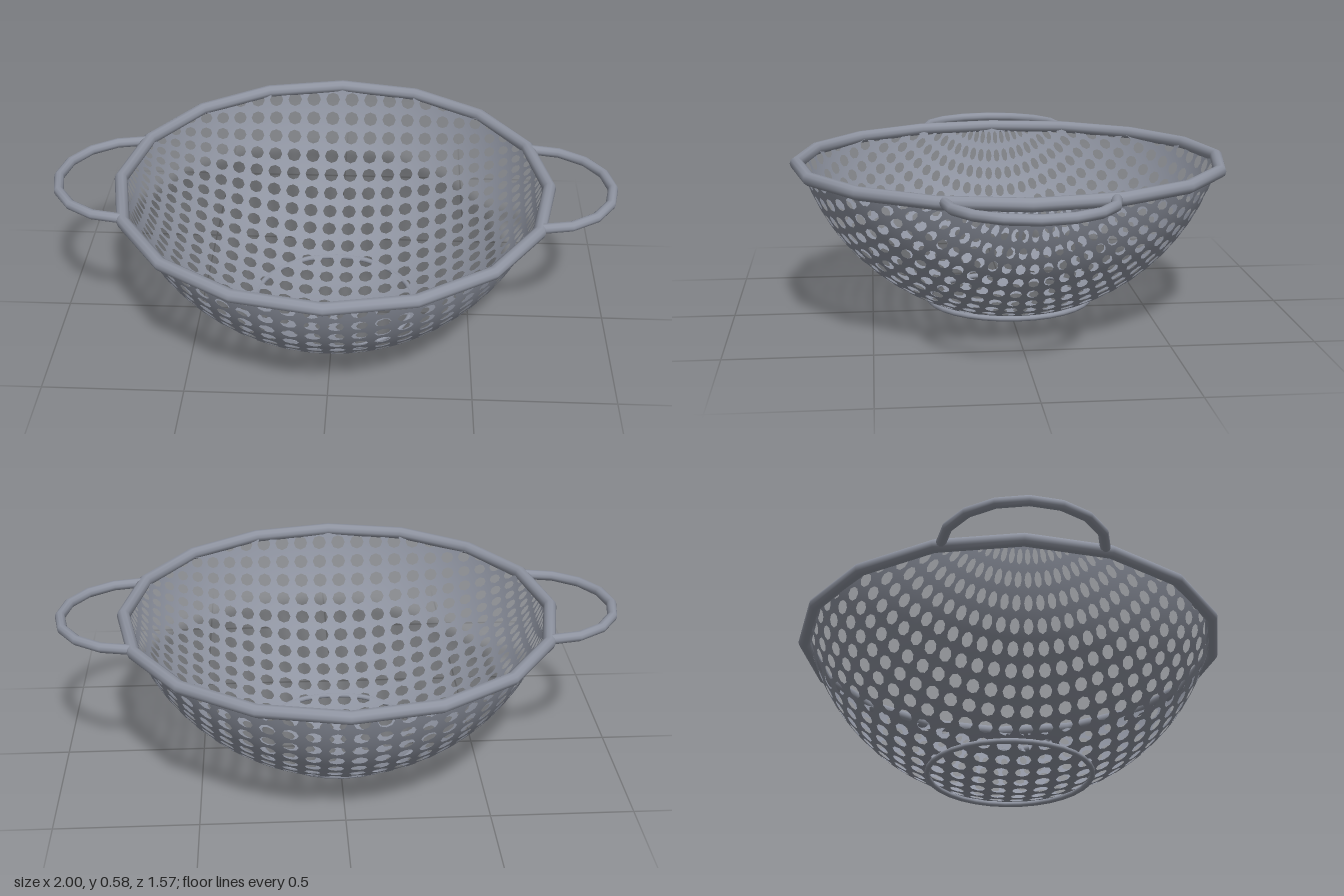
import * as THREE from 'three';

const R = 0.773;          // bowl sphere radius, also the height of its centre
const RIM_Y = 0.557;      // height of the rim
const STEP = Math.PI / 32; // angular size of one perforated cell

const steel = new THREE.MeshStandardMaterial({ color: 0x8f94a1, side: THREE.DoubleSide });
steel.name = 'brushed steel';

// Point on the bowl from two angles about the x axis, held at or below the rim
function bowlPoint(lat, lon) {
  const drop = R - RIM_Y;
  const latMax = Math.acos(drop / R);
  const a = THREE.MathUtils.clamp(lat, -latMax, latMax);
  const lonMax = Math.acos(Math.min(1, drop / (R * Math.cos(a))));
  const b = THREE.MathUtils.clamp(lon, -lonMax, lonMax);
  return new THREE.Vector3(
    R * Math.sin(a),
    R - R * Math.cos(a) * Math.cos(b),
    R * Math.cos(a) * Math.sin(b)
  );
}

// Spherical cap made of square cells, each with an eight-sided hole
function perforatedBowl() {
  const pos = [], nor = [], idx = [];
  const centre = new THREE.Vector3(0, R, 0);
  const N = 14, HOLE = 0.36;
  for (let i = -N; i < N; i++) {
    for (let j = -N; j < N; j++) {
      const u = (i + 0.5) * STEP, v = (j + 0.5) * STEP;
      // skip cells lying wholly above the rim
      const nearU = Math.abs(u) - STEP / 2, nearV = Math.abs(v) - STEP / 2;
      if (R - R * Math.cos(nearU) * Math.cos(nearV) >= RIM_Y) continue;
      const base = pos.length / 3;
      for (let k = 0; k < 8; k++) {
        const c = Math.cos(k * Math.PI / 4), s = Math.sin(k * Math.PI / 4);
        const edge = 0.5 / Math.max(Math.abs(c), Math.abs(s));
        for (const r of [HOLE, edge]) {
          const p = bowlPoint(u + c * r * STEP, v + s * r * STEP);
          pos.push(p.x, p.y, p.z);
          const n = p.sub(centre).normalize();
          nor.push(n.x, n.y, n.z);
        }
        const a = base + 2 * k, b = base + 2 * ((k + 1) % 8);
        idx.push(a, a + 1, b + 1, a, b + 1, b);
      }
    }
  }
  const g = new THREE.BufferGeometry();
  g.setAttribute('position', new THREE.Float32BufferAttribute(pos, 3));
  g.setAttribute('normal', new THREE.Float32BufferAttribute(nor, 3));
  g.setIndex(idx);
  return g;
}

// Horizontal ring or part of a ring
function ring(name, radius, tube, segments, y, arc = Math.PI * 2) {
  const g = new THREE.TorusGeometry(radius, tube, 10, segments, arc);
  g.rotateX(Math.PI / 2);
  const m = new THREE.Mesh(g, steel);
  m.name = name;
  m.position.y = y;
  return m;
}

export function createModel() {
  const group = new THREE.Group();
  group.name = 'colander';

  const bowl = new THREE.Mesh(perforatedBowl(), steel);
  bowl.name = 'perforatedBowl';
  group.add(bowl);

  group.add(ring('rim', 0.76, 0.023, 16, RIM_Y));
  group.add(ring('footRing', 0.296, 0.01, 32, 0.049));

  // Half-ring handles on both sides
  for (const side of [1, -1]) {
    const handle = ring(side > 0 ? 'leftHandle' : 'rightHandle', 0.271, 0.018, 8, 0.56, Math.PI);
    handle.rotation.y = side * Math.PI / 2;
    handle.position.x = side * 0.711;
    group.add(handle);
  }
  return group;
}
